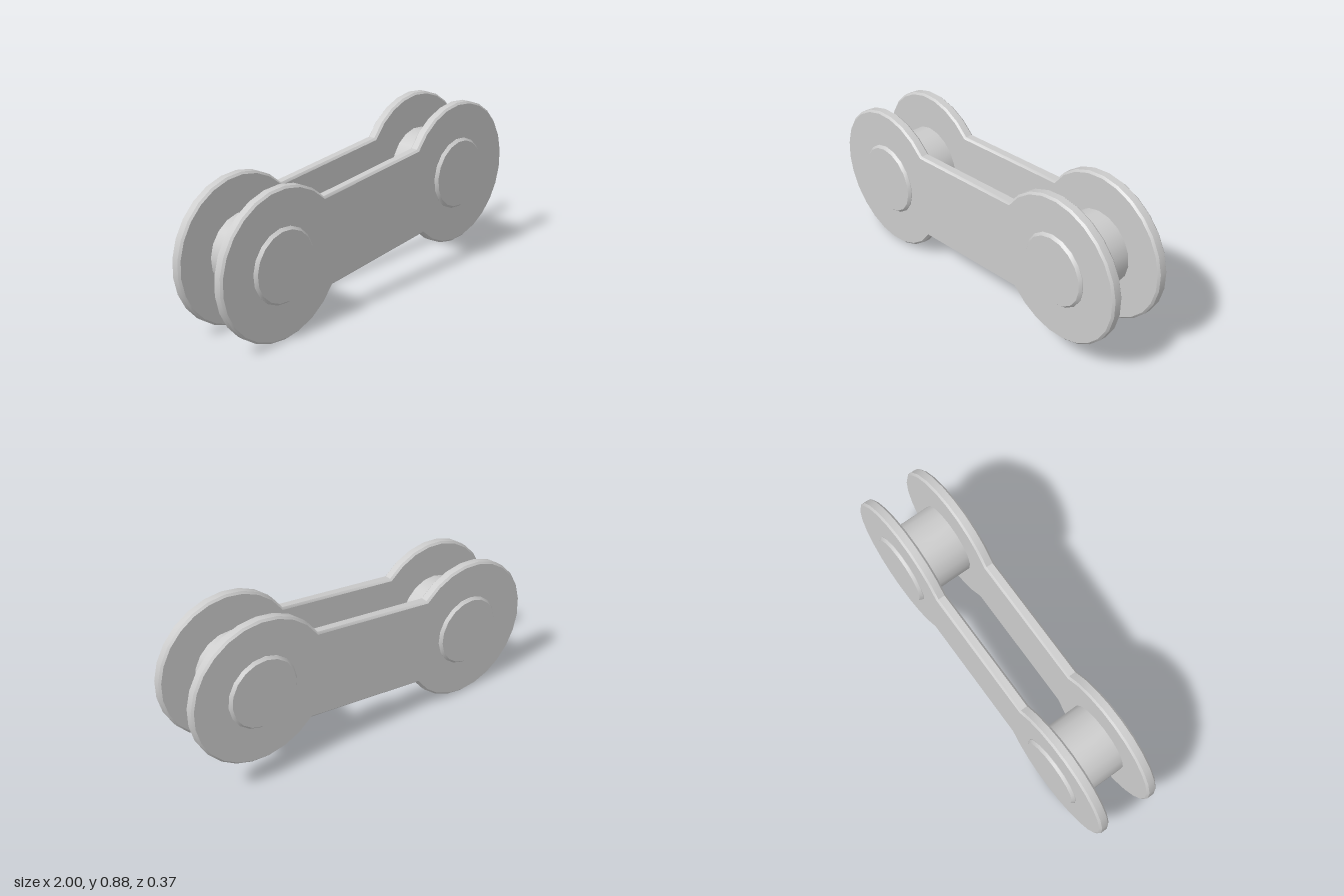
import * as THREE from 'three';
import { toCreasedNormals } from 'three/addons/utils/BufferGeometryUtils.js';

const HALF_SPAN = 0.628; // centre of link to each pin
const EYE_RADIUS = 0.375;
const WAIST = 0.23; // half height of the bar between the eyes
const THICKNESS = 0.055;
const PLATE_Z = 0.142;
const PIN_RADIUS = 0.187;
const PIN_HALF_LENGTH = 0.186;

// Side plate: two round eyes joined by a straight waist, with softened edges
function plateGeometry() {
  const a = Math.asin(WAIST / EYE_RADIUS);
  const shape = new THREE.Shape();
  shape.absarc(HALF_SPAN, 0, EYE_RADIUS, a - Math.PI, Math.PI - a, false);
  shape.absarc(-HALF_SPAN, 0, EYE_RADIUS, a, 2 * Math.PI - a, false);
  shape.closePath();
  const bevel = 0.01;
  const geometry = new THREE.ExtrudeGeometry(shape, {
    depth: THICKNESS - 2 * bevel,
    bevelThickness: bevel,
    bevelSize: bevel,
    bevelOffset: -bevel,
    bevelSegments: 1,
    curveSegments: 10,
  });
  geometry.translate(0, 0, -(THICKNESS / 2 - bevel));
  return toCreasedNormals(geometry, 0.6);
}

// Pin: a cylinder along z with chamfered ends standing proud of the plates
function pinGeometry() {
  const end = PIN_HALF_LENGTH;
  const profile = [
    [0, -end], [PIN_RADIUS - 0.012, -end], [PIN_RADIUS, -end + 0.014],
    [PIN_RADIUS, end - 0.014], [PIN_RADIUS - 0.012, end], [0, end],
  ].map(([r, y]) => new THREE.Vector2(r, y));
  const geometry = new THREE.LatheGeometry(profile, 18);
  geometry.rotateX(Math.PI / 2);
  return toCreasedNormals(geometry, 0.6);
}

export function createModel() {
  const model = new THREE.Group();
  model.name = 'chainLink';
  const material = new THREE.MeshStandardMaterial({ color: 0xcccccc });

  // The whole link leans slightly, its left end higher
  const link = new THREE.Group();
  link.name = 'tiltedLink';
  link.position.y = 0.44;
  link.rotation.z = Math.atan2(0.13, 1.25);
  model.add(link);

  const plate = plateGeometry();
  const pin = pinGeometry();
  for (const side of [1, -1]) {
    const plateMesh = new THREE.Mesh(plate, material);
    plateMesh.name = side > 0 ? 'frontPlate' : 'backPlate';
    plateMesh.position.z = side * PLATE_Z;

    const pinMesh = new THREE.Mesh(pin, material);
    pinMesh.name = side > 0 ? 'leftPin' : 'rightPin';
    pinMesh.position.x = side * HALF_SPAN;
    link.add(plateMesh, pinMesh);
  }
  return model;
}
